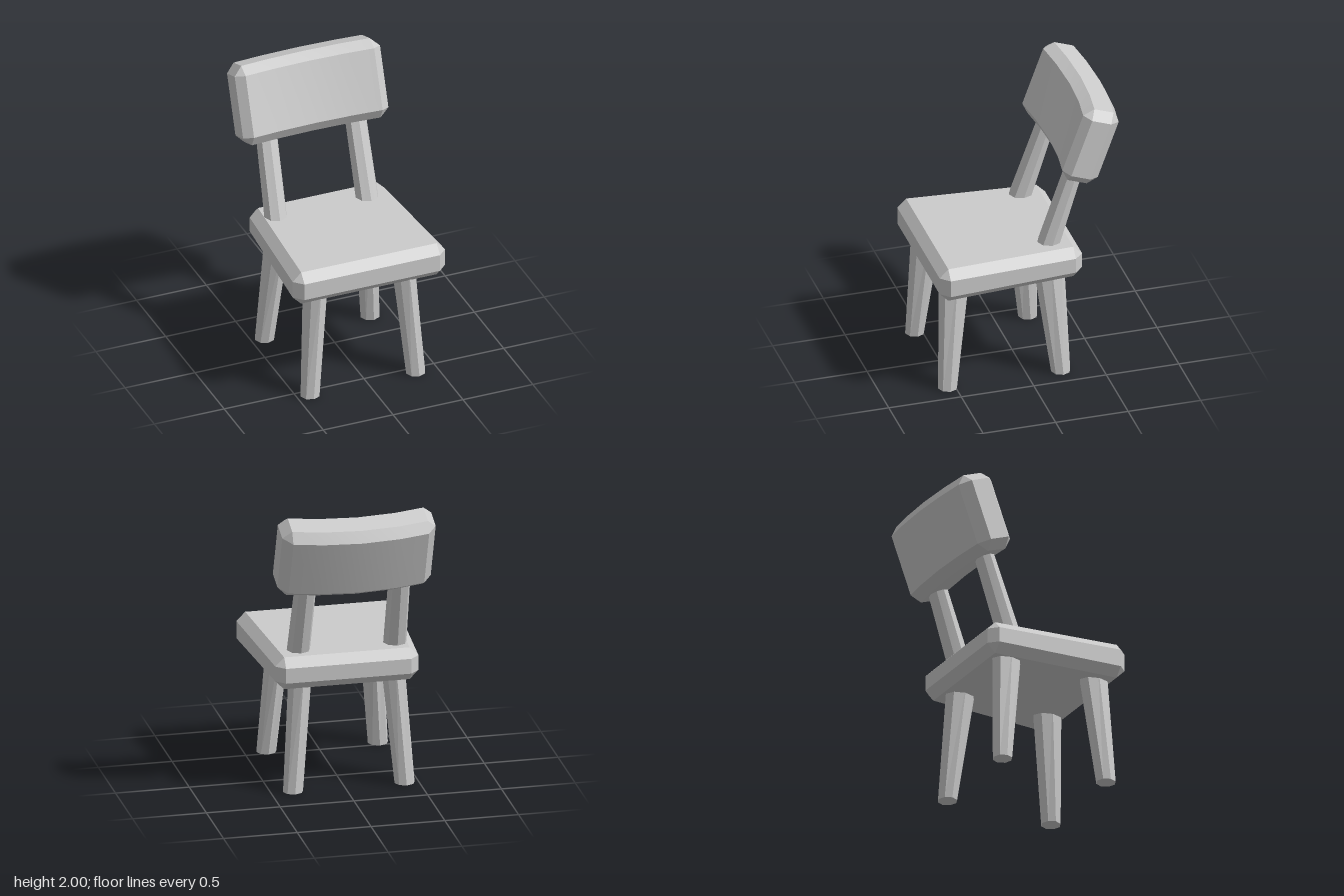
import * as THREE from 'three';
import { toCreasedNormals } from 'three/addons/utils/BufferGeometryUtils.js';

const BEVEL = 0.06;
const SHIFT = -0.028; // legs and back sit slightly off the seat's centre line

// Bevelled rectangle as 8 points, counter-clockwise; a cap merges them into the inset corners.
function ring(halfA, halfB, cap) {
  const a = halfA - BEVEL, b = halfB - BEVEL;
  const A = cap ? a : halfA, B = cap ? b : halfB;
  return [[A, -b], [A, b], [a, B], [-a, B], [-A, b], [-A, -b], [-a, -B], [a, -B]];
}

// Skin a row of 8-point sections and close both ends.
function loft(sections) {
  const pos = [];
  const tri = (p, q, r) => {
    const area = q.clone().sub(p).cross(r.clone().sub(p)).length();
    if (area > 1e-8) for (const v of [p, q, r]) pos.push(v.x, v.y, v.z);
  };
  for (let i = 0; i < sections.length - 1; i++) {
    const s = sections[i], t = sections[i + 1];
    for (let j = 0; j < 8; j++) {
      const k = (j + 1) % 8;
      tri(s[j], s[k], t[k]);
      tri(s[j], t[k], t[j]);
    }
  }
  const first = sections[0], last = sections[sections.length - 1];
  for (let j = 1; j < 7; j++) {
    tri(first[0], first[j + 1], first[j]);
    tri(last[0], last[j], last[j + 1]);
  }
  const geo = new THREE.BufferGeometry();
  geo.setAttribute('position', new THREE.Float32BufferAttribute(pos, 3));
  return toCreasedNormals(geo, 0.45);
}

// Eight-sided leaning, tapering bar between two level ellipses {x, y, z, rx, rz}.
function bar(lo, hi) {
  const geo = new THREE.CylinderGeometry(1, 1, 1, 8);
  const p = geo.attributes.position;
  for (let i = 0; i < p.count; i++) {
    const e = p.getY(i) > 0 ? hi : lo;
    p.setXYZ(i, e.x + p.getX(i) * e.rx, e.y, e.z + p.getZ(i) * e.rz);
  }
  return toCreasedNormals(geo.toNonIndexed(), 0.1);
}

export function createModel() {
  const model = new THREE.Group();
  model.name = 'chair';
  const material = new THREE.MeshStandardMaterial({ color: 0xcccccc });
  const add = (name, geo) => {
    const mesh = new THREE.Mesh(geo, material);
    mesh.name = name;
    model.add(mesh);
    return mesh;
  };

  // Seat: wider and a touch thicker at the front
  const seat = [
    [-0.355, 0.485, 0.112, true], [-0.295, 0.485, 0.112, false],
    [0.585, 0.545, 0.12, false], [0.645, 0.545, 0.12, true],
  ];
  add('seat', loft(seat.map(([z, w, h, cap]) =>
    ring(w, h, cap).map(([x, y]) => new THREE.Vector3(x, y + 0.86, z)))));

  // Backrest: bowed panel, leaning back
  const stations = [-0.52, -0.46, -0.26, 0, 0.26, 0.46, 0.52];
  const back = add('backrest', loft(stations.map((x) => {
    const bow = 0.046 * (x / 0.46) ** 2;
    return ring(0.271, 0.13, Math.abs(x) > 0.5)
      .map(([y, z]) => new THREE.Vector3(x, y, z + bow));
  })));
  back.position.set(SHIFT + 0.002, 1.709, -0.454);
  back.rotation.x = -THREE.MathUtils.degToRad(20);

  // Legs and back posts, mirrored left and right
  for (const [side, s] of [['left', 1], ['right', -1]]) {
    for (const [end, zFoot, zTop] of [['Front', 0.549, 0.481], ['Rear', -0.23, -0.161]]) {
      add(side + end + 'Leg', bar(
        { x: SHIFT + s * 0.378, y: 0, z: zFoot, rx: 0.068, rz: 0.066 },
        { x: SHIFT + s * 0.311, y: 0.85, z: zTop, rx: 0.08, rz: 0.11 }));
    }
    add(side + 'BackPost', bar(
      { x: SHIFT + s * 0.329, y: 0.85, z: -0.125, rx: 0.08, rz: 0.086 },
      { x: SHIFT + s * 0.316, y: 1.6, z: -0.376, rx: 0.074, rz: 0.062 }));
  }
  return model;
}
